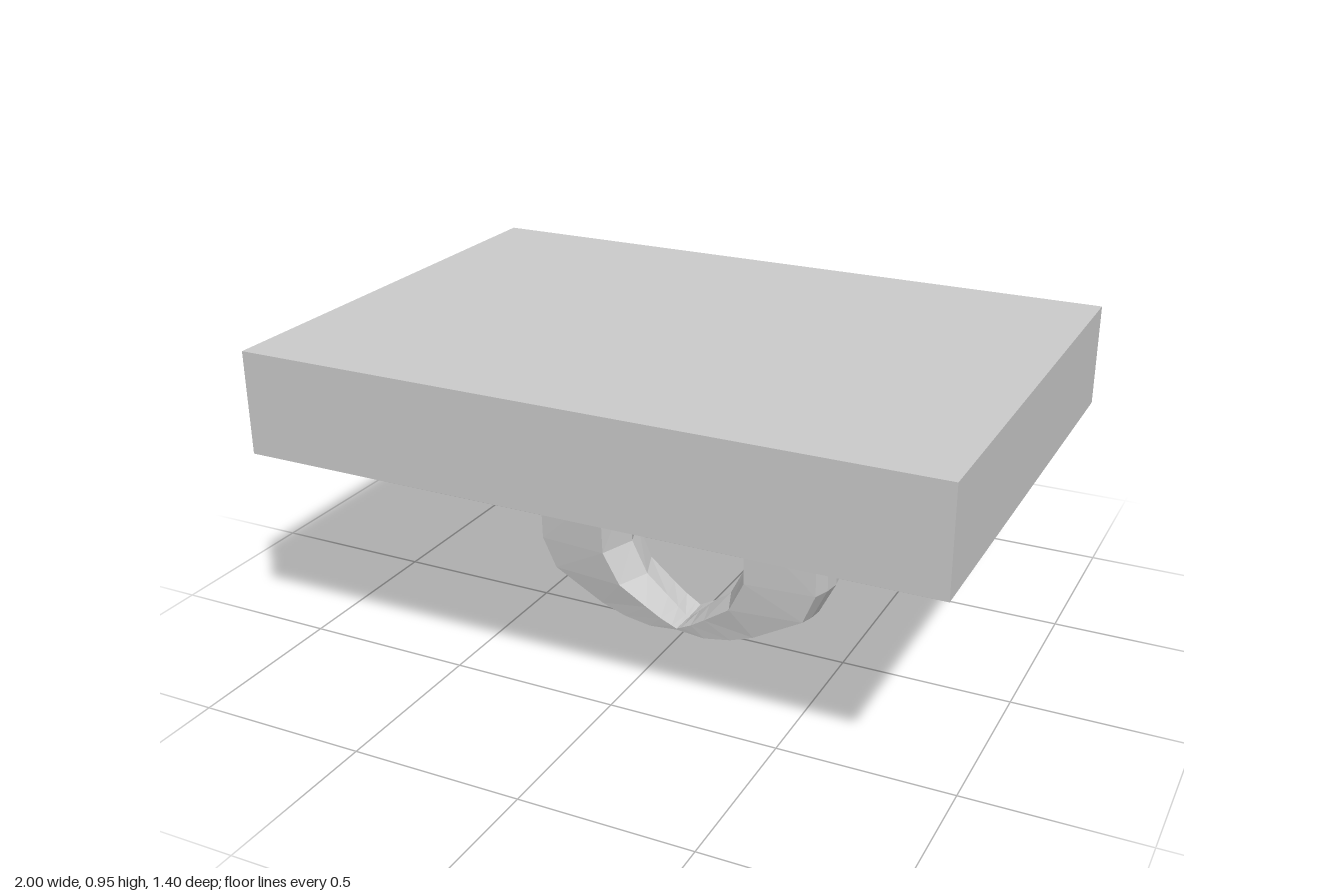
import * as THREE from 'three';

// Ring cross-sections from the plate down to the bottom:
// outer ridge x,y | outer edge x,y | inner edge x,y | inner ridge x,y | half-depth outer, inner
const SECTIONS = [
  [0.26, 0.66, 0.23, 0.66, 0, 0.655, 0, 0.635, 0.165, 0.178],
  [0.42, 0.55, 0.405, 0.55, 0.19, 0.55, 0.14, 0.55, 0.11, 0.127],
  [0.47, 0.45, 0.445, 0.45, 0.23, 0.45, 0.19, 0.45, 0.105, 0.125],
  [0.47, 0.25, 0.445, 0.25, 0.23, 0.25, 0.19, 0.25, 0.098, 0.115],
  [0.42, 0.15, 0.405, 0.155, 0.18, 0.15, 0.14, 0.15, 0.092, 0.106],
  [0.26, 0.048, 0.25, 0.065, 0.095, 0.09, 0.07, 0.09, 0.086, 0.095],
  [0.18, 0.013, 0.175, 0.037, 0.05, 0.06, 0.035, 0.06, 0.084, 0.09],
  [0.09, 0, 0.09, 0.022, 0.015, 0.042, 0.01, 0.038, 0.083, 0.086],
  [0, 0.014, 0, 0.03, 0, 0.034, 0, 0.031, 0.083, 0.084],
];

// Eight-point loop around the band, rounded outside and ridged inside
function sectionLoop([ox, oy, ex, ey, ix, iy, rx, ry, zo, zi], side) {
  const mx = ox * 0.7 + ex * 0.3, my = oy * 0.7 + ey * 0.3;
  return [
    [ex, ey, zo], [mx, my, zo / 2], [ox, oy, 0], [mx, my, -zo / 2],
    [ex, ey, -zo], [ix, iy, -zi], [rx, ry, 0], [ix, iy, zi],
  ].map(([x, y, z]) => [x * side, y, z]);
}

function halfRing(side) {
  const loops = SECTIONS.map((s) => sectionLoop(s, side));
  const n = loops[0].length;
  const index = [];
  for (let i = 0; i < loops.length - 1; i++) {
    for (let j = 0; j < n; j++) {
      const k = (j + 1) % n;
      const a = i * n + j, b = i * n + k, c = b + n, d = a + n;
      if (side > 0) index.push(a, d, c, a, c, b);
      else index.push(a, c, d, a, b, c);
    }
  }
  const indexed = new THREE.BufferGeometry();
  indexed.setAttribute('position', new THREE.Float32BufferAttribute(loops.flat(2), 3));
  indexed.setIndex(index);
  const geometry = indexed.toNonIndexed();
  geometry.computeVertexNormals();
  return geometry;
}

export function createModel() {
  const model = new THREE.Group();
  model.name = 'plateRing';
  const material = new THREE.MeshStandardMaterial({ color: 0xcccccc, flatShading: true });

  // Thick rectangular plate on top
  const plate = new THREE.Mesh(new THREE.BoxGeometry(2, 0.3, 1.4), material);
  plate.name = 'plate';
  plate.position.y = 0.804;
  model.add(plate);

  // Faceted band, flaring into the plate, as two mirrored halves
  const ring = new THREE.Group();
  ring.name = 'ring';
  for (const side of [1, -1]) {
    const half = new THREE.Mesh(halfRing(side), material);
    half.name = side > 0 ? 'leftRingHalf' : 'rightRingHalf';
    ring.add(half);
  }
  model.add(ring);
  return model;
}
